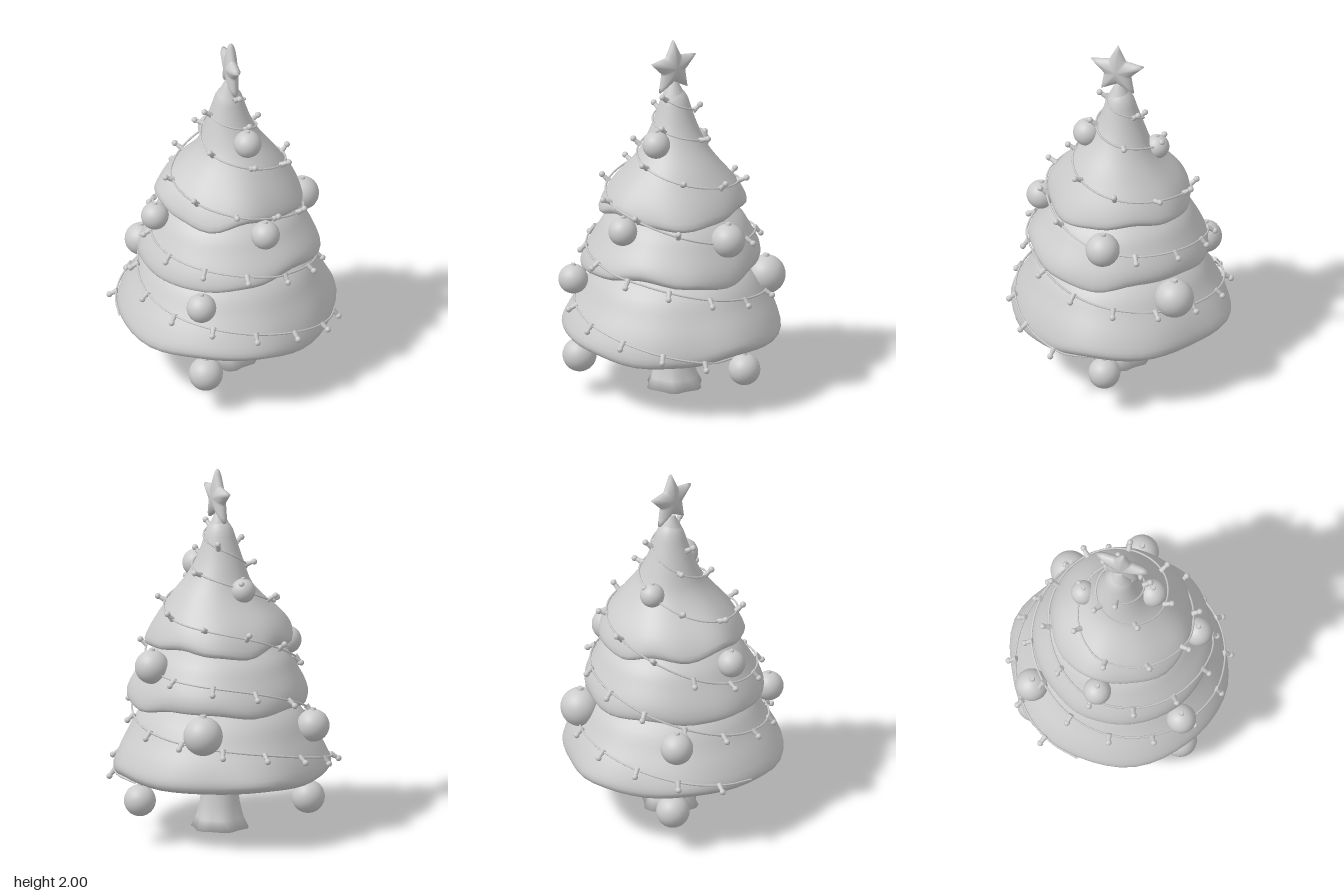
import * as THREE from 'three';
import { mergeVertices } from 'three/addons/utils/BufferGeometryUtils.js';

const material = new THREE.MeshStandardMaterial({ color: 0xcccccc, side: THREE.DoubleSide });
const UP = new THREE.Vector3(0, 1, 0);

function add(parent, name, geometry, x = 0, y = 0, z = 0) {
  const mesh = new THREE.Mesh(geometry, material);
  mesh.name = name;
  mesh.position.set(x, y, z);
  parent.add(mesh);
  return mesh;
}

// Moves every vertex by a rule, then welds the seam and smooths the normals
function reshape(geometry, rule) {
  const p = geometry.attributes.position, v = new THREE.Vector3();
  for (let i = 0; i < p.count; i++) {
    rule(v.fromBufferAttribute(p, i));
    p.setXYZ(i, v.x, v.y, v.z);
  }
  geometry.deleteAttribute('uv');
  geometry.deleteAttribute('normal');
  const welded = mergeVertices(geometry, 1e-4);
  welded.computeVertexNormals();
  return welded;
}

const toPoints = list => list.map(([x, y]) => new THREE.Vector2(x, y));

// Smooth value around the trunk from evenly spaced entries, counted from the front towards +x
function around(list, angle) {
  const n = list.length, t = ((angle / (Math.PI * 2)) % 1 + 1) % 1 * n, i = Math.floor(t);
  return THREE.MathUtils.lerp(list[i % n], list[(i + 1) % n], THREE.MathUtils.smoothstep(t - i, 0, 1));
}

// Draped branch layer: a turned profile whose rim swings in and out, up and down,
// and whose body bulges slightly to one side around the height 1.33
function tierGeometry({ profile, rimY, rimR, radii, lifts }) {
  const points = new THREE.SplineCurve(toPoints(profile)).getPoints(28);
  points.forEach(p => { p.x = Math.max(p.x, 0); });
  return reshape(new THREE.LatheGeometry(points, 48), v => {
    const r = Math.hypot(v.x, v.z), a = Math.atan2(v.x, v.z);
    const k = Math.exp(-Math.abs(v.y - rimY) * 4) * Math.min(1, (r / rimR) ** 2);
    const s = 1 + k * (around(radii, a) / rimR - 1);
    const bulge = Math.exp(-(((v.y - 1.33) / 0.11) ** 2));
    v.x = v.x * s + 0.02 * bulge;
    v.z = v.z * s + 0.012 * bulge;
    v.y += k * around(lifts, a);
  });
}

const TIERS = [
  {
    name: 'lowerBranches', rimY: 0.36, rimR: 0.585,
    radii: [0.605, 0.575, 0.56, 0.59, 0.585, 0.565, 0.61, 0.58, 0.6, 0.6, 0.615, 0.605],
    lifts: [0, -0.042, -0.03, 0.02, 0, 0, 0.01, -0.012, 0.01, 0, -0.01, 0.01],
    profile: [[0, 0.36], [0.25, 0.35], [0.48, 0.335], [0.55, 0.335], [0.585, 0.38],
      [0.555, 0.47], [0.497, 0.57], [0.428, 0.68], [0.3, 0.78]],
  },
  {
    name: 'middleBranches', rimY: 0.74, rimR: 0.488,
    radii: [0.505, 0.49, 0.5, 0.48, 0.455, 0.46, 0.475, 0.465, 0.465, 0.495, 0.5, 0.505],
    lifts: [0.02, 0.062, 0.02, -0.015, 0.03, 0.03, 0, 0.02, -0.01, 0, -0.015, -0.01],
    profile: [[0.2, 0.78], [0.36, 0.745], [0.45, 0.72], [0.488, 0.74], [0.475, 0.81],
      [0.42, 0.91], [0.36, 1.0], [0.24, 1.1]],
  },
  {
    name: 'upperBranches', rimY: 1.07, rimR: 0.392,
    radii: [0.4, 0.385, 0.405, 0.385, 0.375, 0.39, 0.38, 0.37, 0.39, 0.405, 0.39, 0.41],
    lifts: [0.04, 0, -0.02, 0, 0.03, 0, -0.025, 0.03, 0, 0.045, 0, -0.025],
    profile: [[0.15, 1.11], [0.28, 1.07], [0.36, 1.045], [0.392, 1.07], [0.372, 1.13],
      [0.328, 1.2], [0.25, 1.295], [0.18, 1.39], [0.128, 1.5], [0.093, 1.6], [0.066, 1.68], [0.02, 1.73]],
  },
];

// Ornament: x, y, z, radius
const BAUBLES = [
  [0.06, 1.45, 0.17, 0.075], [-0.05, 1.365, -0.19, 0.066],
  [0.09, 1.02, 0.42, 0.078], [-0.42, 1.0, 0.04, 0.075], [0.42, 0.96, -0.04, 0.092],
  [-0.28, 0.65, 0.47, 0.08], [0.285, 0.645, -0.4, 0.106], [-0.39, 0.62, -0.35, 0.088],
  [-0.36, 0.23, -0.35, 0.09], [-0.25, 0.22, 0.45, 0.092], [0.51, 0.24, -0.08, 0.086],
];

// Two interleaved light strings: first quarter turn (front = 0, +x = 1), then the height at each quarter
const STRINGS = [
  [0, [1.68, 1.63, 1.56, 1.44, 1.35, 1.235, 1.14, 0.9, 0.815, 0.64, 0.54, 0.38]],
  [-1, [1.58, 1.53, 1.465, 1.39, 1.23, 1.125, 0.945, 0.86, 0.61, 0.49, 0.315]],
];

// Winds a string around the tiers, resting on the surface and bridging the gaps
function stringCurve(start, heights, tiers) {
  const ray = new THREE.Raycaster(), perTurn = 24, n = (heights.length - 1) * perTurn / 4;
  const height = new THREE.SplineCurve(heights.map((y, i) => new THREE.Vector2(i, y)));
  const ring = [];
  for (let i = 0; i <= n; i++) {
    const a = (i / perTurn + start / 4) * Math.PI * 2, y = height.getPoint(i / n).y;
    const out = new THREE.Vector3(Math.sin(a), 0, Math.cos(a));
    ray.set(out.clone().multiplyScalar(2).setY(y), out.clone().negate());
    const hit = ray.intersectObjects(tiers)[0];
    ring.push({ out, y, r: hit ? 2.008 - hit.distance : 0.5 });
  }
  for (let pass = 0; pass < 4; pass++) {
    for (let i = 1; i < n; i++) ring[i].r = Math.max(ring[i].r, (ring[i - 1].r + ring[i + 1].r) / 2);
  }
  return new THREE.CatmullRomCurve3(ring.map(q => q.out.clone().multiplyScalar(q.r).setY(q.y)));
}

// Puffed five-point star standing in the y-z plane
function starGeometry() {
  const step = Math.PI / 5, R = 0.158, r = 0.08;
  return reshape(new THREE.SphereGeometry(1, 60, 14), v => {
    const a = Math.atan2(v.z, v.x), s = Math.hypot(v.x, v.z), thick = v.y;
    const f = 1 - Math.abs(((a / step) % 2 + 2) % 2 - 1); // 0 on a tip, 1 in a notch
    // straight edge from tip to notch, in polar form
    const edge = R * r * Math.sin(step) / (R * Math.sin(f * step) + r * Math.sin((1 - f) * step));
    v.set(thick * 0.037, Math.cos(a) * edge * s, Math.sin(a) * edge * s);
  });
}

export function createModel() {
  const tree = new THREE.Group();
  tree.name = 'decoratedTree';

  // Trunk with a flared, lobed foot
  const trunkProfile = toPoints([[0, 0], [0.08, 0.01], [0.15, 0.022], [0.125, 0.08], [0.108, 0.16],
    [0.097, 0.25], [0.088, 0.33], [0.085, 0.42]]);
  add(tree, 'trunk', reshape(new THREE.LatheGeometry(trunkProfile, 24), v => {
    const a = Math.atan2(v.x, v.z), k = Math.max(0, 1 - v.y / 0.15);
    const s = 1 + 0.09 * k * Math.cos(6 * a + 0.94);
    v.x *= s;
    v.z *= s;
  }));

  // Three branch layers
  const tiers = TIERS.map(tier => add(tree, tier.name, tierGeometry(tier)));
  tree.updateMatrixWorld(true);

  // Star and its flared holder
  add(tree, 'starHolder', new THREE.CylinderGeometry(0.022, 0.064, 0.085, 16), 0, 1.718, 0.005);
  add(tree, 'star', starGeometry(), 0.008, 1.842, 0.014);

  // Hanging ornaments with small caps
  for (const [x, y, z, r] of BAUBLES) {
    const bauble = new THREE.Group();
    bauble.name = 'bauble';
    bauble.position.set(x, y, z);
    add(bauble, 'ball', new THREE.SphereGeometry(r, 28, 18));
    add(bauble, 'cap', new THREE.CylinderGeometry(r * 0.15, r * 0.2, r * 0.16, 12), 0, r * 1.03, 0);
    tree.add(bauble);
  }

  // Light strings with bulbs: upward on the upper half, drooping on the lower half
  const socket = new THREE.CylinderGeometry(0.01, 0.016, 0.044, 10).translate(0, 0.014, 0);
  const glass = new THREE.SphereGeometry(0.0165, 12, 8).translate(0, 0.044, 0);
  for (const [start, heights] of STRINGS) {
    const curve = stringCurve(start, heights, tiers);
    add(tree, 'lightString', new THREE.TubeGeometry(curve, 260, 0.0055, 6));
    const count = Math.round(curve.getLength() / 0.235);
    for (let i = 0; i < count; i++) {
      const p = curve.getPointAt((i + 0.1) / count);
      const tilt = (p.y > 1 ? 0.7 : -0.9) + 0.35 * Math.sin(i * 2.4);
      const bulb = new THREE.Group();
      bulb.name = 'bulb';
      bulb.position.copy(p);
      const dir = new THREE.Vector3(p.x, 0, p.z).normalize().setY(tilt).normalize();
      bulb.quaternion.setFromUnitVectors(UP, dir);
      add(bulb, 'socket', socket);
      add(bulb, 'glass', glass);
      tree.add(bulb);
    }
  }
  return tree;
}
